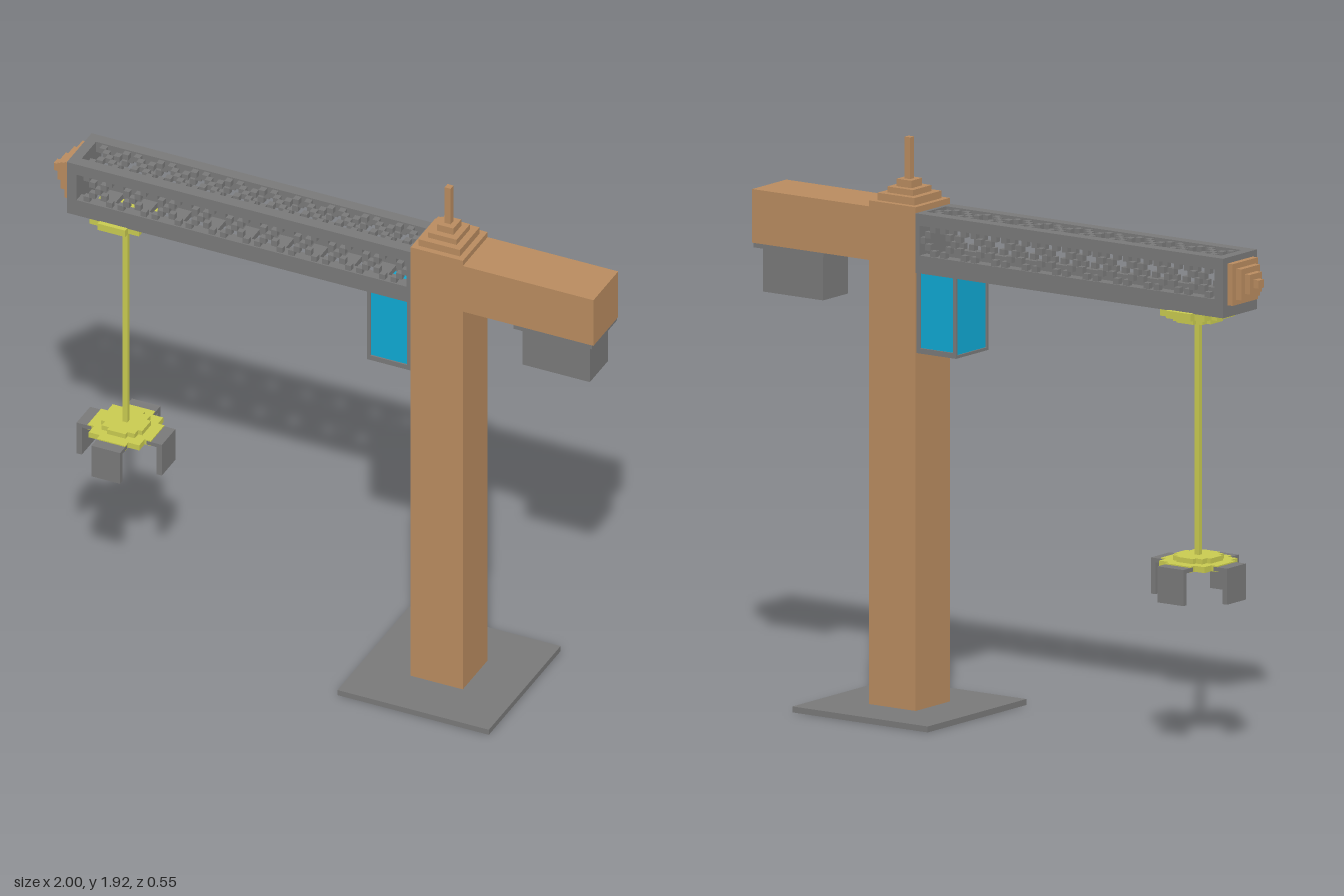
import * as THREE from 'three';
import { mergeGeometries } from 'three/addons/utils/BufferGeometryUtils.js';

const mat = (name, color) => new THREE.MeshStandardMaterial({ name, color });

export function createModel() {
  const model = new THREE.Group();
  const brown = mat('mast brown', 0xb88b5f);
  const grey = mat('steel grey', 0x797979);
  const blue = mat('glass blue', 0x0fa8d2);
  const yellow = mat('hoist yellow', 0xc8ca50);

  // Box geometry from its limits on each axis
  const boxGeo = (x0, x1, y0, y1, z0, z1) =>
    new THREE.BoxGeometry(x1 - x0, y1 - y0, z1 - z0)
      .translate((x0 + x1) / 2, (y0 + y1) / 2, (z0 + z1) / 2);
  const add = (name, material, geos) => {
    const mesh = new THREE.Mesh(geos.length > 1 ? mergeGeometries(geos) : geos[0], material);
    mesh.name = name;
    model.add(mesh);
  };
  const box = (name, material, ...limits) => add(name, material, [boxGeo(...limits)]);

  // Base, mast and counter arm
  const mastX = 0.43;
  box('basePlate', grey, 0.155, 0.705, 0, 0.02, -0.275, 0.275);
  box('mast', brown, 0.335, 0.525, 0.02, 1.71, -0.095, 0.095);
  box('counterArm', brown, 0.525, 1, 1.51, 1.69, -0.095, 0.095);
  box('counterweightPlate', grey, 0.71, 0.995, 1.495, 1.51, -0.095, 0.095);
  box('counterweight', grey, 0.73, 0.975, 1.345, 1.495, -0.07, 0.07);

  // Stepped roof and spike
  const roof = [[0.075, 1.71, 1.735], [0.052, 1.735, 1.755], [0.03, 1.755, 1.78], [0.011, 1.78, 1.92]];
  add('mastRoof', brown, roof.map(([h, y0, y1]) => boxGeo(mastX - h, mastX + h, y0, y1, -h, h)));

  // Stepped nose at the jib tip
  const nose = [[0.07, -0.915], [0.052, -0.937], [0.033, -0.958], [0.014, -0.98]];
  add('jibNose', brown, nose.map(([h, x]) => boxGeo(x - 0.021, x, 1.6 - h, 1.6 + h, -h, h)));

  // Jib rails and end plates
  const rails = [
    boxGeo(-0.915, -0.88, 1.49, 1.69, -0.095, 0.095),
    boxGeo(0.32, 0.335, 1.49, 1.69, -0.095, 0.095),
  ];
  for (const [z0, z1] of [[-0.095, -0.055], [0.055, 0.095]]) {
    rails.push(boxGeo(-0.88, 0.32, 1.65, 1.69, z0, z1));
    rails.push(boxGeo(-0.88, 0.32, 1.49, 1.55, z0, z1));
  }
  add('jibRails', grey, rails);

  // Blocky cross bracing on both sides and top, slats underneath
  const pitch = 0.124, step = 0.0207, h = 0.0108;
  const sides = [], tops = [], slats = [];
  for (let k = 0; k < 10; k++) {
    const cx = -0.805 + k * pitch;
    for (let i = -2; i <= 2; i++) {
      const x = cx + i * step;
      if (x > 0.32) continue;
      for (const s of i === 0 ? [0] : [-i, i]) {
        const y = 1.6 + s * step, z = s * 0.0225;
        for (const side of [-1, 1]) {
          sides.push(boxGeo(x - h, x + h, y - h, y + h, side * 0.08 - 0.01, side * 0.08 + 0.01));
        }
        tops.push(boxGeo(x - h, x + h, 1.665, 1.685, z - 0.0115, z + 0.0115));
      }
    }
    slats.push(boxGeo(cx - 0.025, Math.min(cx + 0.025, 0.32), 1.495, 1.515, -0.055, 0.055));
  }
  add('jibSideBracing', grey, sides);
  add('jibTopBracing', grey, tops);
  add('jibFloorSlats', grey, slats);

  // Cab: glass box with a thin frame
  box('cabGlass', blue, 0.18, 0.33, 1.225, 1.49, -0.085, 0.085);
  const frame = [];
  for (const s of [-1, 1]) {
    const z0 = s * 0.086 - 0.004, z1 = s * 0.086 + 0.004;
    frame.push(boxGeo(0.175, 0.187, 1.22, 1.49, z0, z1));
    frame.push(boxGeo(0.32, 0.335, 1.22, 1.49, z0, z1));
    frame.push(boxGeo(0.175, 0.335, 1.22, 1.238, z0, z1));
  }
  frame.push(boxGeo(0.175, 0.185, 1.22, 1.23, -0.09, 0.09));
  add('cabFrame', grey, frame);

  // Stepped octagonal plates of the trolley and grapple
  const hoistX = -0.745;
  const plate = (name, r, y0, y1) => {
    const corners = [[1, 0.45], [0.8, 0.45], [0.8, 0.8], [0.45, 0.8], [0.45, 1]];
    const points = [];
    for (let q = 0; q < 4; q++) {
      for (const [a, b] of corners) {
        points.push(new THREE.Vector2(a * r, b * r).rotateAround(new THREE.Vector2(), q * Math.PI / 2));
      }
      points.push(new THREE.Vector2(-0.45 * r, r).rotateAround(new THREE.Vector2(), q * Math.PI / 2));
    }
    const geo = new THREE.ExtrudeGeometry(new THREE.Shape(points), { depth: y1 - y0, bevelEnabled: false });
    add(name, yellow, [geo.rotateX(-Math.PI / 2).translate(hoistX, y0, 0)]);
  };
  plate('trolleyPlate', 0.112, 1.467, 1.492);
  plate('trolleyHub', 0.075, 1.448, 1.467);
  plate('grapplePlate', 0.115, 0.625, 0.645);
  plate('grappleHub', 0.075, 0.645, 0.662);
  box('cable', yellow, hoistX - 0.009, hoistX + 0.009, 0.66, 1.45, -0.009, 0.009);

  // Four claws around the grapple
  for (let q = 0; q < 4; q++) {
    const claw = [
      boxGeo(0.1, 0.155, 0.627, 0.641, -0.052, 0.052),
      boxGeo(0.136, 0.155, 0.52, 0.627, -0.052, 0.052),
    ];
    add('claw', grey, claw.map((g) => g.rotateY(q * Math.PI / 2).translate(hoistX, 0, 0)));
  }
  return model;
}
